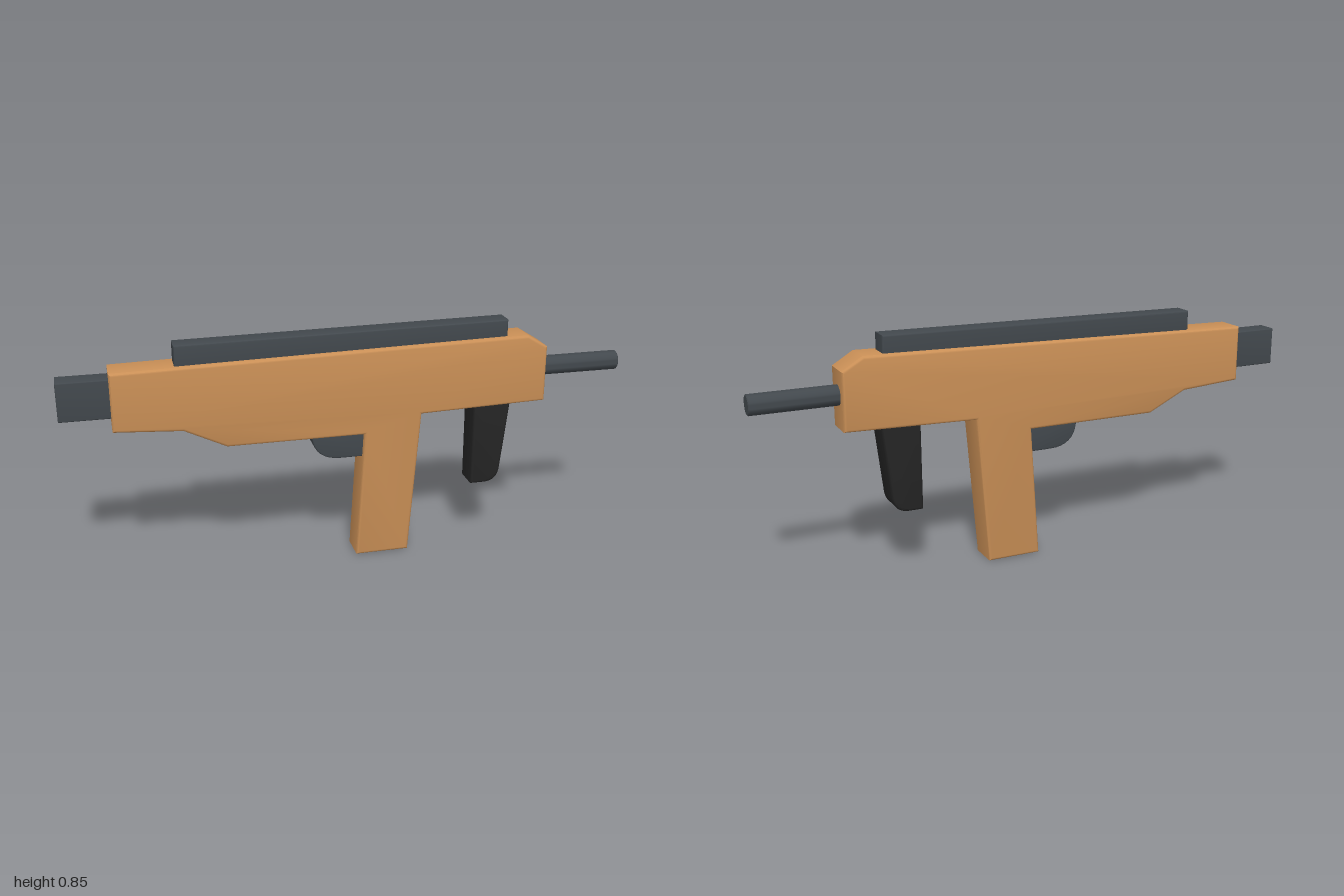
import * as THREE from 'three';
import { toCreasedNormals } from 'three/addons/utils/BufferGeometryUtils.js';

const material = (name, color) => {
  const m = new THREE.MeshStandardMaterial({ color });
  m.name = name;
  return m;
};

// Side outline in x and y, extruded across z with softened edges
function slab(name, shape, halfWidth, bevel, mat) {
  const geometry = new THREE.ExtrudeGeometry(shape, {
    depth: 2 * (halfWidth - bevel), curveSegments: 8,
    bevelEnabled: true, bevelThickness: bevel, bevelSize: bevel, bevelOffset: -bevel, bevelSegments: 3,
  });
  geometry.translate(0, 0, bevel - halfWidth);
  const mesh = new THREE.Mesh(toCreasedNormals(geometry, 0.6), mat);
  mesh.name = name;
  return mesh;
}

const polygon = (points) => new THREE.Shape(points.map(([x, y]) => new THREE.Vector2(x, y)));

export function createModel() {
  const wood = material('warm wood', 0xc98f56);
  const steel = material('dark steel', 0x42484d);
  const black = material('black grip', 0x242424);
  const model = new THREE.Group();
  model.name = 'toyBlaster';

  // Body and handle in one outline
  model.add(slab('body', polygon([
    [-0.828, 0.553], [-0.595, 0.538], [-0.45, 0.468], [0.035, 0.468], [0.006, 0.0], [0.2, 0.0],
    [0.243, 0.527], [0.705, 0.54], [0.705, 0.742], [0.632, 0.787], [-0.828, 0.758],
  ]), 0.061, 0.01, wood));

  // Slightly tilted top rail
  model.add(slab('topRail', polygon([
    [-0.612, 0.74], [0.56, 0.75], [0.56, 0.845], [-0.612, 0.832],
  ]), 0.039, 0.006, steel));

  // Rear block
  model.add(slab('rearBlock', polygon([
    [-1, 0.597], [-0.78, 0.597], [-0.78, 0.733], [-1, 0.733],
  ]), 0.039, 0.004, steel));

  // Rounded guard tucked behind the handle
  const guard = new THREE.Shape();
  guard.moveTo(-0.15, 0.5);
  guard.lineTo(-0.15, 0.46);
  guard.bezierCurveTo(-0.145, 0.41, -0.11, 0.38, -0.05, 0.38);
  guard.lineTo(0.06, 0.38);
  guard.lineTo(0.06, 0.5);
  model.add(slab('guard', guard, 0.042, 0.005, steel));

  // Front grip with a rounded lower corner
  const grip = new THREE.Shape();
  grip.moveTo(0.44, 0.56);
  grip.lineTo(0.44, 0.234);
  grip.lineTo(0.495, 0.234);
  grip.quadraticCurveTo(0.542, 0.237, 0.549, 0.285);
  grip.lineTo(0.58, 0.56);
  model.add(slab('frontGrip', grip, 0.053, 0.01, black));

  // Barrel with a fine rounded rim
  const profile = [[0, 0], [0.035, 0], [0.035, 0.327], [0.032, 0.33], [0, 0.33]]
    .map(([r, y]) => new THREE.Vector2(r, y));
  const barrel = new THREE.Mesh(toCreasedNormals(new THREE.LatheGeometry(profile, 32), 0.6), steel);
  barrel.name = 'barrel';
  barrel.rotation.z = -Math.PI / 2;
  barrel.position.set(0.67, 0.655, 0);
  model.add(barrel);

  return model;
}
